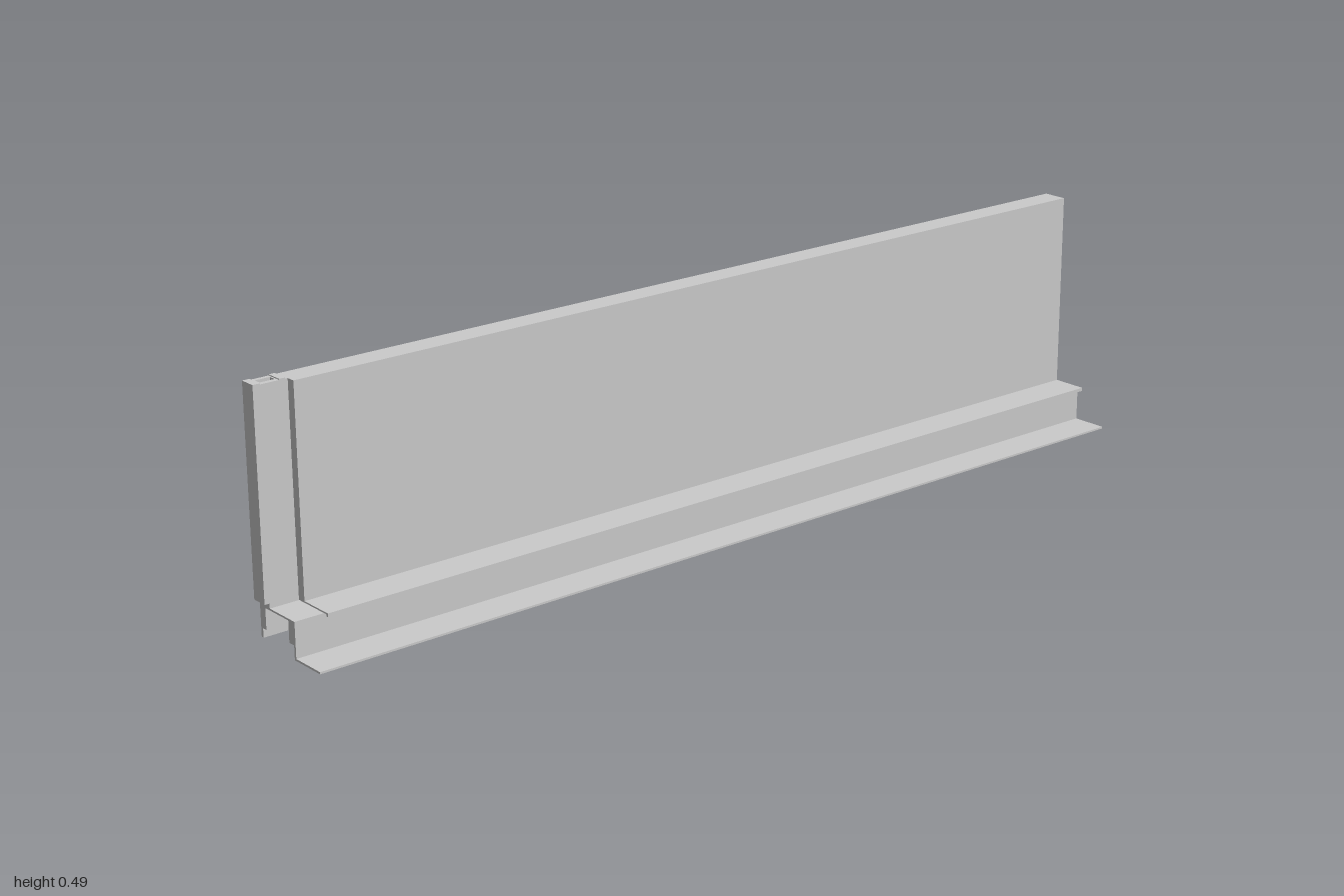
import * as THREE from 'three';

const material = new THREE.MeshStandardMaterial({ color: 0xcccccc, flatShading: true });

export function createModel() {
  const group = new THREE.Group();

  const add = (name, geometry) => {
    const mesh = new THREE.Mesh(geometry, material);
    mesh.name = name;
    group.add(mesh);
    return mesh;
  };
  const toShape = (points) => new THREE.Shape(points.map(([x, y]) => new THREE.Vector2(x, y)));

  // Extrude an x-y cross-section along the length
  const rail = (name, points, z0, z1) => {
    const geometry = new THREE.ExtrudeGeometry(toShape(points), { depth: z1 - z0, bevelEnabled: false });
    geometry.translate(0, 0, z0);
    return add(name, geometry);
  };
  // Box given by its limits
  const box = (name, x0, x1, y0, y1, z0, z1) => {
    const geometry = new THREE.BoxGeometry(x1 - x0, y1 - y0, z1 - z0);
    geometry.translate((x0 + x1) / 2, (y0 + y1) / 2, (z0 + z1) / 2);
    return add(name, geometry);
  };

  // Upright side panel with its outer skirt and inner foot flange
  rail('sideWall', [
    [-0.092, 0.01], [-0.086, 0.01], [-0.086, 0.074], [0.028, 0.074], [0.028, 0.07],
    [0.032, 0.07], [0.032, 0.077], [-0.042, 0.077], [-0.042, 0.484], [-0.0935, 0.484],
    [-0.0935, 0.083], [-0.092, 0.083],
  ], -1, 0.93);

  // Stepped channel under the wall, with the web and bottom flange
  rail('runnerProfile', [
    [-0.086, 0.028], [-0.075, 0.028], [-0.075, 0.07], [-0.001, 0.07], [-0.001, 0.028],
    [0.014, 0.028], [0.014, 0], [0.0935, 0], [0.0935, 0.004], [0.019, 0.004],
    [0.019, 0.0735], [-0.086, 0.0735],
  ], -1, 0.99);

  // Skirt continued below the front post
  box('frontSkirt', -0.092, -0.086, 0.01, 0.083, 0.93, 0.99);

  // Front post, a vertical extrusion with a small slot in its top
  const plan = toShape([
    [-0.0935, -1], [-0.06, -1], [-0.06, -0.93], [-0.0935, -0.93],
  ]);
  const slot = toShape([[-0.085, -0.98], [-0.085, -0.95], [-0.07, -0.95], [-0.07, -0.98]]);
  plan.holes.push(slot);
  const post = new THREE.ExtrudeGeometry(plan, { depth: 0.401, bevelEnabled: false });
  post.rotateX(-Math.PI / 2);
  post.translate(0, 0.083, 0);
  add('frontPost', post);
  box('postSlotFloor', -0.085, -0.07, 0.083, 0.478, 0.95, 0.98);
  box('postFoot', -0.086, -0.06, 0.0735, 0.083, 0.93, 0.99);

  // Raised edges on the post top
  box('postFrontRim', -0.0935, -0.06, 0.484, 0.486, 0.985, 1);
  box('postBackRim', -0.0935, -0.06, 0.484, 0.486, 0.935, 0.947);

  return group;
}
